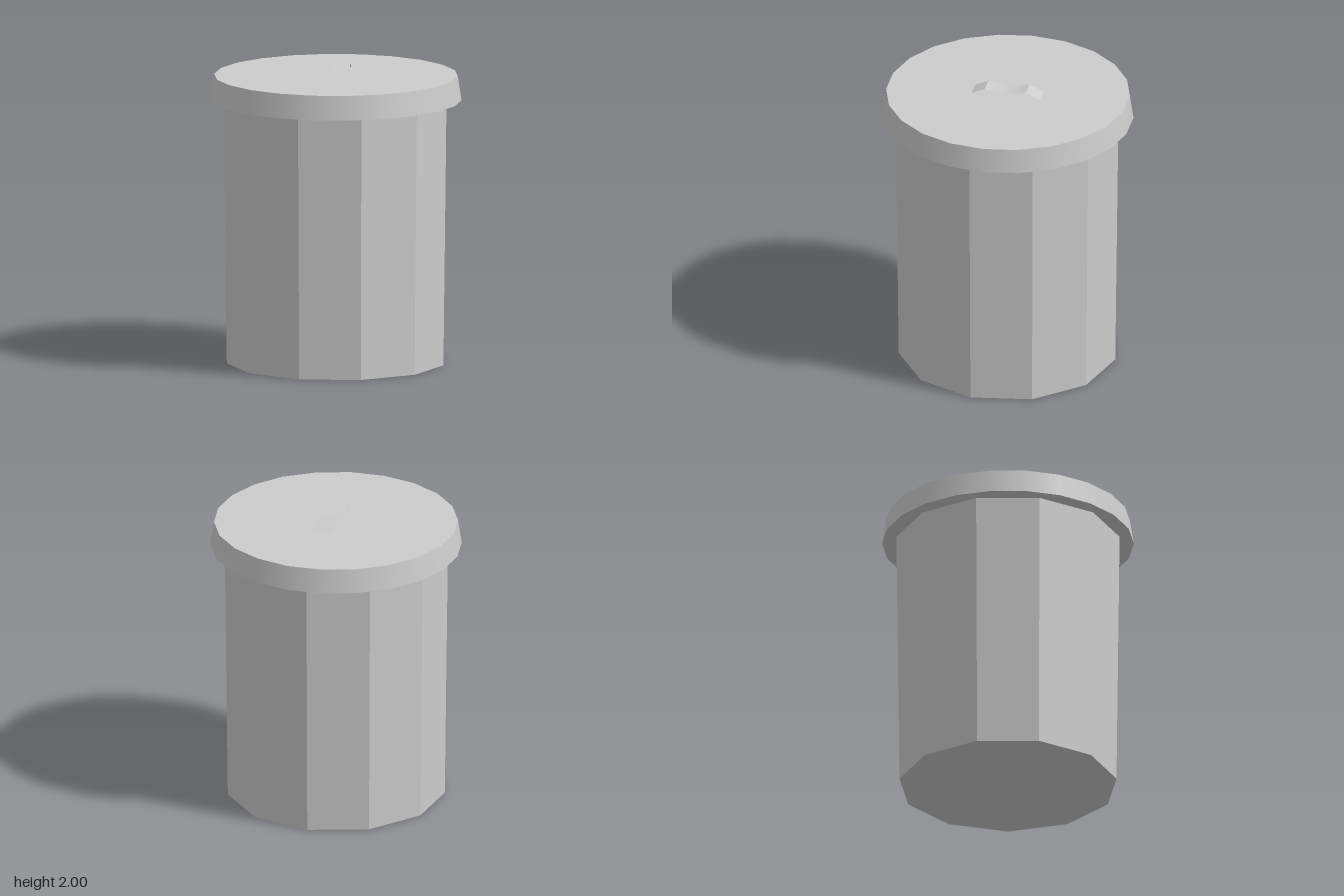
import * as THREE from 'three';

const gray = new THREE.MeshStandardMaterial({ color: 0xcccccc, side: THREE.DoubleSide });
gray.name = 'gray metal';

function addPart(group, name, geometry) {
  const mesh = new THREE.Mesh(geometry, gray);
  mesh.name = name;
  group.add(mesh);
  return mesh;
}

// Thin strip of given width lying along z, following [z, y] points, with faceted or smooth normals
function strip(points, x0, x1) {
  const geo = new THREE.PlaneGeometry(1, 1, 1, points.length - 1);
  const pos = geo.attributes.position;
  points.forEach(([z, y], i) => {
    pos.setXYZ(2 * i, x0, y, z);
    pos.setXYZ(2 * i + 1, x1, y, z);
  });
  geo.computeVertexNormals();
  return geo;
}

export function createModel() {
  const model = new THREE.Group();
  model.name = 'bin';

  // Faceted eleven-sided body, slightly wider at the top, one corner at the back
  const bodyHeight = 1.78;
  const body = new THREE.CylinderGeometry(0.753, 0.732, bodyHeight, 11, 1, false, Math.PI).toNonIndexed();
  body.computeVertexNormals();
  addPart(model, 'body', body).position.y = bodyHeight / 2;

  // Overhanging lid with a smooth sloped rim
  const lidHeight = 0.163;
  const lid = new THREE.CylinderGeometry(0.815, 0.84, lidHeight, 22, 1, false, Math.PI / 2);
  addPart(model, 'lid', lid).position.y = bodyHeight + lidHeight / 2;

  // Handle: a sagging grip between two sloped ends
  const handle = new THREE.Group();
  handle.name = 'handle';
  model.add(handle);
  const x0 = -0.035, x1 = 0.088, half = 0.14, sag = 0.02;
  const grip = [];
  for (let i = 0; i <= 6; i++) {
    const t = i / 3 - 1;
    grip.push([t * half, 2 - sag * (1 - t * t)]);
  }
  addPart(handle, 'handleGrip', strip(grip, x0, x1));
  addPart(handle, 'handleBackEnd', strip([[-0.235, 1.958], [-half, 2]], x0, x1));
  addPart(handle, 'handleFrontEnd', strip([[half, 2], [0.23, 1.958]], x0, x1));

  return model;
}
